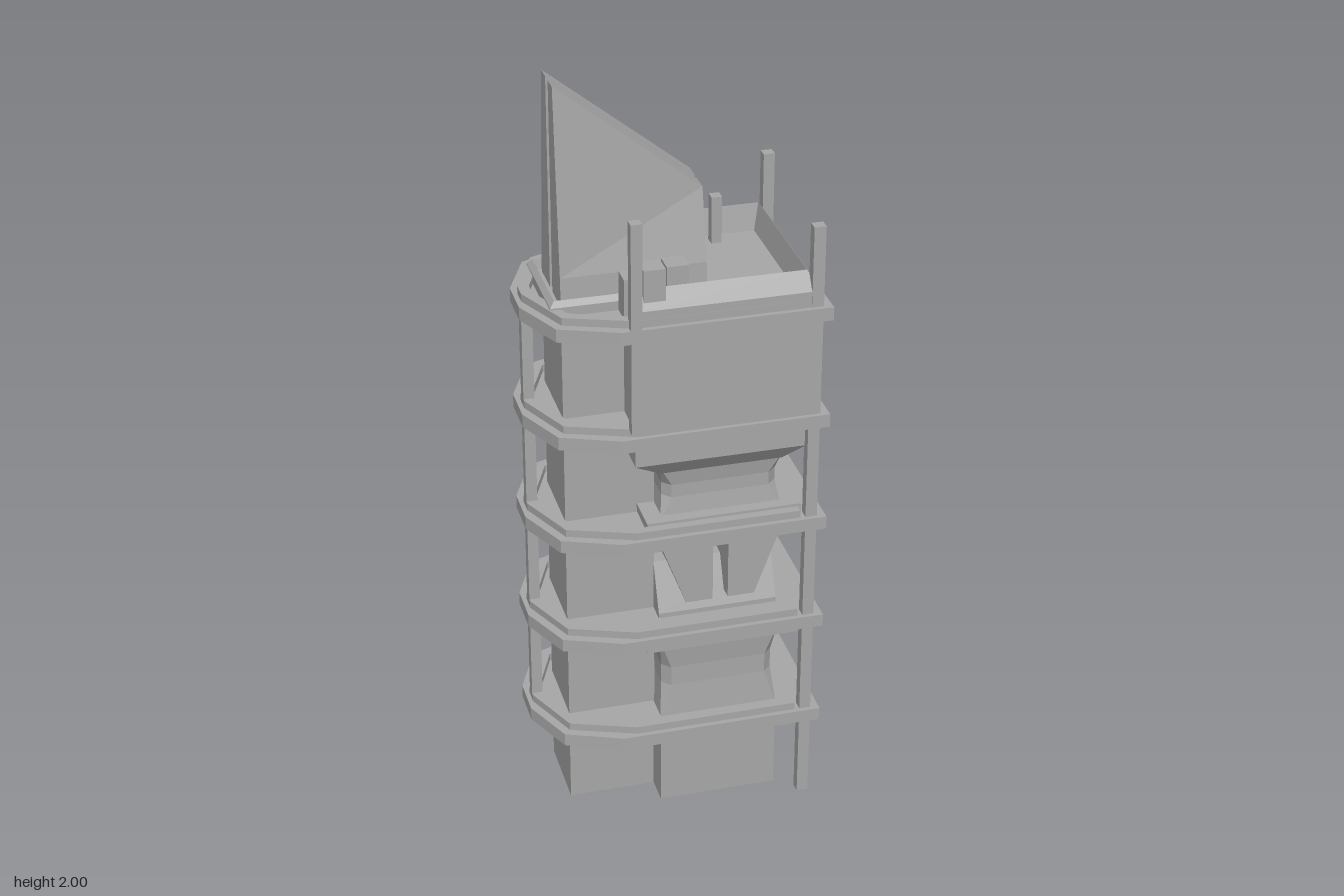
import * as THREE from 'three';

const concrete = new THREE.MeshStandardMaterial({ color: 0xa6a6a6 });
concrete.name = 'concrete grey';

// Skin a stack of equal-length rings, listed from bottom to top
function loft(rings) {
  const out = [], n = rings[0].length, last = rings[rings.length - 1];
  const tri = (a, b, c) => out.push(...a, ...b, ...c);
  for (let k = 0; k < rings.length - 1; k++) {
    const a = rings[k], b = rings[k + 1];
    for (let i = 0; i < n; i++) {
      const j = (i + 1) % n;
      tri(a[i], a[j], b[j]);
      tri(a[i], b[j], b[i]);
    }
  }
  for (let i = 1; i < n - 1; i++) {
    tri(last[0], last[i], last[i + 1]);
    tri(rings[0][0], rings[0][i + 1], rings[0][i]);
  }
  const g = new THREE.BufferGeometry();
  g.setAttribute('position', new THREE.Float32BufferAttribute(out, 3));
  g.computeVertexNormals();
  return g;
}

// Rectangular ring at height y, optionally with cut corners
function rect([x0, x1, z0, z1], y, inset = 0, cut = 0) {
  x0 += inset; x1 -= inset; z0 += inset; z1 -= inset;
  if (!cut) return [[x0, y, z1], [x1, y, z1], [x1, y, z0], [x0, y, z0]];
  return [[x0, z1 - cut], [x0 + cut, z1], [x1 - cut, z1], [x1, z1 - cut],
    [x1, z0 + cut], [x1 - cut, z0], [x0 + cut, z0], [x0, z0 + cut]].map(([x, z]) => [x, y, z]);
}

export function createModel() {
  const root = new THREE.Group();
  root.name = 'tower';
  const add = (name, geometry) => {
    const m = new THREE.Mesh(geometry, concrete);
    m.name = name;
    root.add(m);
    return m;
  };
  const box = (name, x0, x1, y0, y1, z0, z1) => {
    const g = new THREE.BoxGeometry(x1 - x0, y1 - y0, z1 - z0);
    return add(name, g.translate((x0 + x1) / 2, (y0 + y1) / 2, (z0 + z1) / 2));
  };
  const polygon = (pts) => new THREE.Shape(pts.map(([x, y]) => new THREE.Vector2(x, y)));
  const extrude = (pts, depth) =>
    new THREE.ExtrudeGeometry(polygon(pts), { depth, bevelEnabled: false });

  // Rear service shaft and ground block
  const core = [-0.047, 0.265, -0.145, 0.175];
  box('serviceShaft', -0.275, -0.045, 0, 1.446, -0.105, 0.1);
  box('groundBlock', -0.047, 0.265, 0, 0.24, -0.145, 0.175);

  // Five floor decks with a raised curb, open toward +x
  const deck = [[-0.367, 0.052], [-0.307, 0.188], [-0.162, 0.246], [0.365, 0.246],
    [0.365, -0.25], [-0.165, -0.25], [-0.307, -0.193], [-0.367, -0.055]];
  const curbOuter = [[0.3, 0.233], [-0.125, 0.233], [-0.29, 0.172], [-0.355, 0.022]];
  const curbInner = [[0.3, 0.21], [-0.12, 0.21], [-0.27, 0.152], [-0.327, 0.018]];
  const flip = (pts) => pts.map(([x, z]) => [x, -z]).reverse();
  const curb = [...curbOuter, ...flip(curbOuter), ...curbInner.map(([x, z]) => [x, -z]),
    ...[...curbInner].reverse()];
  for (let i = 0; i < 5; i++) {
    const y = 0.233 + 0.294 * i;
    add('floorDeck', loft([y, y + 0.035].map((h) => deck.map(([x, z]) => [x, h, z]))));
    add('deckCurb', extrude(curb, 0.02).rotateX(-Math.PI / 2).translate(0, y + 0.035, 0));
    if (i < 4) box('endPost', -0.355, -0.327, y + 0.035, y + 0.294, -0.014, 0.014);
  }

  // Corner columns, front mast and rear pipe
  box('cornerColumn', 0.313, 0.343, 0, 1.655, 0.206, 0.234);
  box('cornerColumn', 0.323, 0.352, 0, 1.655, -0.24, -0.212);
  box('frontMast', -0.139, -0.111, 1.165, 1.72, 0.22, 0.248);
  box('rearPipe', 0.168, 0.195, 0.857, 1.585, -0.17, -0.142);

  // Waisted storeys with cut corners in the middle
  const waisted = (y0, y1) => add('waistedStorey', loft([
    rect(core, y0, 0, 0.003), rect(core, y0 + (y1 - y0) * 0.4, 0.008, 0.022),
    rect(core, y0 + (y1 - y0) * 0.65, 0.008, 0.022), rect(core, y1, 0, 0.003)]));
  waisted(0.268, 0.49);
  waisted(0.87, 1.01);
  const wide = [-0.09, 0.31, -0.185, 0.205];
  add('cornice', loft([rect(wide, 0.483, 0.015), rect(wide, 0.493), rect(wide, 0.507),
    rect(wide, 0.516, 0.012)]));
  box('corniceCap', -0.047, 0.265, 0.51, 0.53, -0.145, 0.175);
  box('plinth', -0.09, 0.31, 0.857, 0.88, -0.2, 0.205);

  // Interlocking prongs of the open storey
  add('hangingProngs', extrude([[-0.047, 0.825], [-0.047, 0.79], [0.02, 0.612], [0.09, 0.612],
    [0.09, 0.77], [0.13, 0.77], [0.13, 0.612], [0.2, 0.612], [0.265, 0.79], [0.265, 0.825]],
  0.32).translate(0, 0, -0.145));
  add('standingProngs', extrude([[-0.155, 0.56], [-0.155, 0.575], [-0.1, 0.7], [-0.037, 0.7],
    [-0.037, 0.61], [0.003, 0.61], [0.003, 0.7], [0.073, 0.7], [0.127, 0.575], [0.127, 0.56]],
  0.312).rotateY(Math.PI / 2).translate(-0.047, 0, 0));

  // Upper room on its flared underside
  const under = [-0.12, 0.318, -0.205, 0.21];
  add('flaredUnderside', loft([rect(core, 1.003), rect(under, 1.05), rect(under, 1.12)]));
  box('upperRoom', -0.12, 0.337, 1.14, 1.42, -0.225, 0.235);

  // Roof parapet with a sunken roof, and the lower balcony parapet
  const roof = [-0.123, 0.34, -0.235, 0.232];
  add('roofParapet', loft([rect(roof, 1.44), rect(roof, 1.485), rect(roof, 1.53, 0.032),
    rect(roof, 1.46, 0.046)]));
  const balcony = [-0.307, -0.1, -0.135, 0.127];
  add('balconyParapet', loft([rect(balcony, 1.44), rect(balcony, 1.468),
    rect(balcony, 1.482, 0.012), rect(balcony, 1.455, 0.017)]));

  // Twin raked fins
  for (const s of [1, -1]) {
    const z = (v) => v * s - 0.003;
    const ring = (yBack, yFront, inner, outer) => {
      const [hi, lo] = s > 0 ? [z(outer), z(inner)] : [z(inner), z(outer)];
      return [[-0.275, yBack, hi], [0.088, yFront, hi], [0.088, yFront, lo], [-0.275, yBack, lo]];
    };
    add('roofFin', loft([ring(1.44, 1.44, 0.013, 0.105), ring(1.53, 1.53, 0.013, 0.1),
      ring(2, 1.71, 0.013, 0.057)]));
  }

  // Roof plant boxes
  box('roofBox', -0.14, -0.086, 1.446, 1.55, 0.131, 0.185);
  box('roofBox', -0.101, -0.047, 1.446, 1.585, 0.166, 0.22);
  box('roofBox', -0.032, 0.023, 1.446, 1.565, 0.118, 0.173);

  return root;
}
